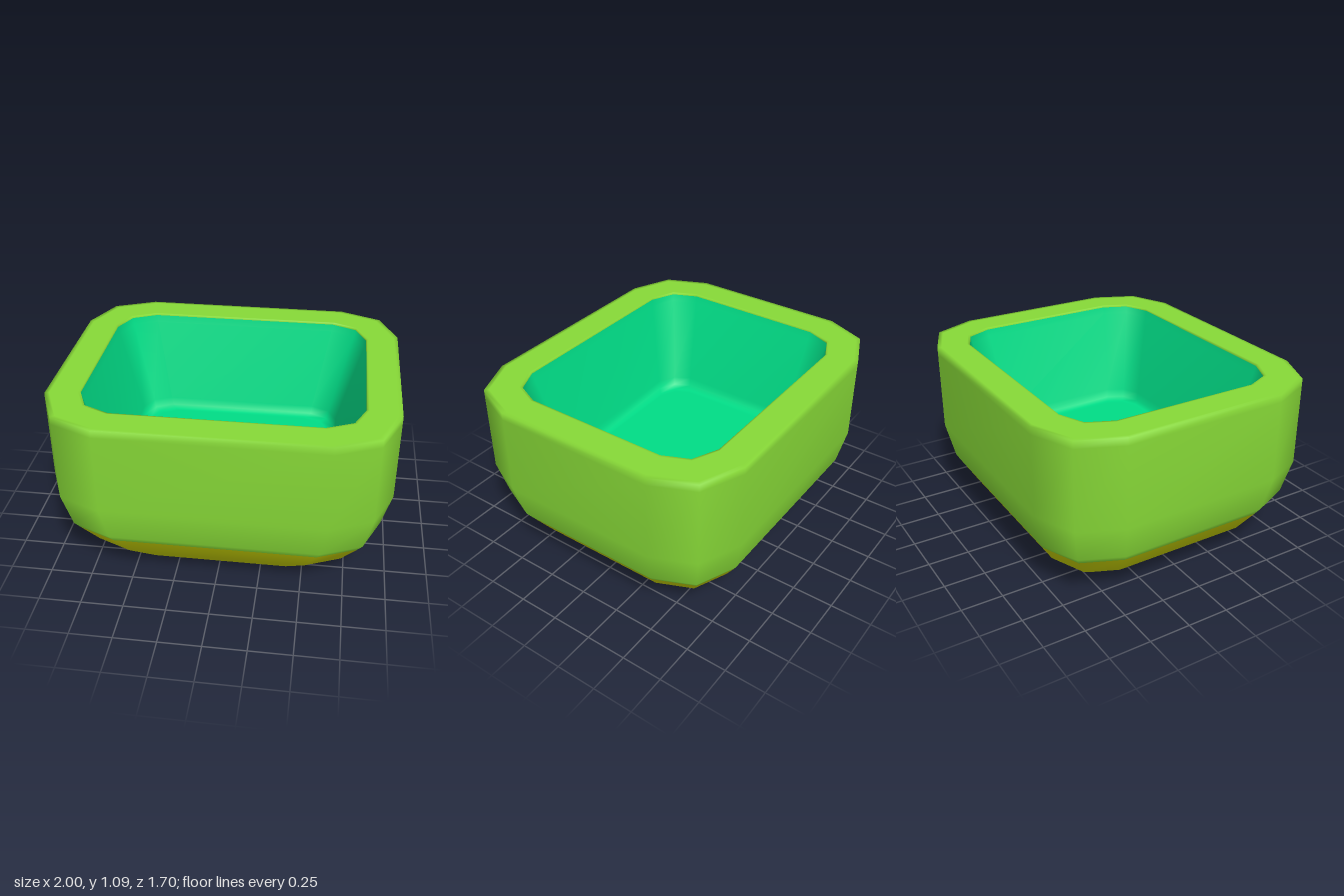
import * as THREE from 'three';

const green = new THREE.MeshStandardMaterial({ color: 0x87d937, side: THREE.DoubleSide });
green.name = 'leaf green';
const olive = new THREE.MeshStandardMaterial({ color: 0xcad400, side: THREE.DoubleSide });
olive.name = 'olive';
const teal = new THREE.MeshStandardMaterial({ color: 0x00dc86, side: THREE.DoubleSide });
teal.name = 'teal';

// Chamfered-rectangle ring: one three-point corner mirrored into all four quadrants
function ring(corner, y, s = 1) {
  const c = corner.map(([x, z]) => [x * s, z * s]);
  const r = [...c].reverse();
  return [
    ...c,
    ...r.map(([x, z]) => [-x, z]),
    ...c.map(([x, z]) => [-x, -z]),
    ...r.map(([x, z]) => [x, -z]),
  ].map(([x, z]) => [x, y, z]);
}

// Skin a stack of rings; optional flat cap; optional groups split at given band index
function loft(rings, { cap = false, split = 0 } = {}) {
  const n = rings[0].length;
  const pos = rings.flat(2);
  const index = [];
  for (let i = 0; i < rings.length - 1; i++) {
    for (let j = 0; j < n; j++) {
      const k = (j + 1) % n;
      const a = i * n + j, b = i * n + k, d = a + n, c = b + n;
      index.push(a, d, b, b, d, c);
    }
  }
  if (cap) {
    const last = (rings.length - 1) * n;
    pos.push(0, rings[rings.length - 1][0][1], 0);
    for (let j = 0; j < n; j++) index.push(last + j, rings.length * n, last + (j + 1) % n);
  }
  const g = new THREE.BufferGeometry();
  g.setAttribute('position', new THREE.Float32BufferAttribute(pos, 3));
  g.setIndex(index);
  g.computeVertexNormals();
  if (split) {
    g.addGroup(0, split * n * 6, 0);
    g.addGroup(split * n * 6, index.length - split * n * 6, 1);
  }
  return g;
}

export function createModel() {
  const group = new THREE.Group();
  group.name = 'bowl';

  const outer = [[1, 0.49], [0.89, 0.742], [0.64, 0.849]];
  const mouth = [[0.806, 0.44], [0.74, 0.59], [0.59, 0.658]];
  const floor = [[0.635, 0.37], [0.585, 0.47], [0.475, 0.522]];

  // Outer shell: open underside, olive foot, green wall, flat rim and inner lip
  const shell = new THREE.Mesh(loft([
    ring(outer, 0, 0.63),
    ring(outer, 0.16, 0.818),
    ring(outer, 0.298, 0.917),
    ring(outer, 0.34, 0.946),
    ring(outer, 0.555),
    ring(outer, 1.04),
    ring(outer, 1.086),
    ring(outer, 1.086, 0.975),
    ring(mouth, 1.086, 1.015),
    ring(mouth, 1.086),
    ring(mouth, 1.075, 0.997),
  ], { split: 2 }), [olive, green]);
  shell.name = 'outerShell';

  // Cavity: tapering wall, small bevel and flat floor
  const cavity = new THREE.Mesh(loft([
    ring(mouth, 1.075, 0.997),
    ring(mouth, 1.03, 0.985),
    ring(floor, 0.52, 1.02),
    ring(floor, 0.468),
    ring(floor, 0.455, 0.94),
    ring(floor, 0.455, 0.9),
  ], { cap: true }), teal);
  cavity.name = 'innerCavity';

  group.add(shell, cavity);
  return group;
}
